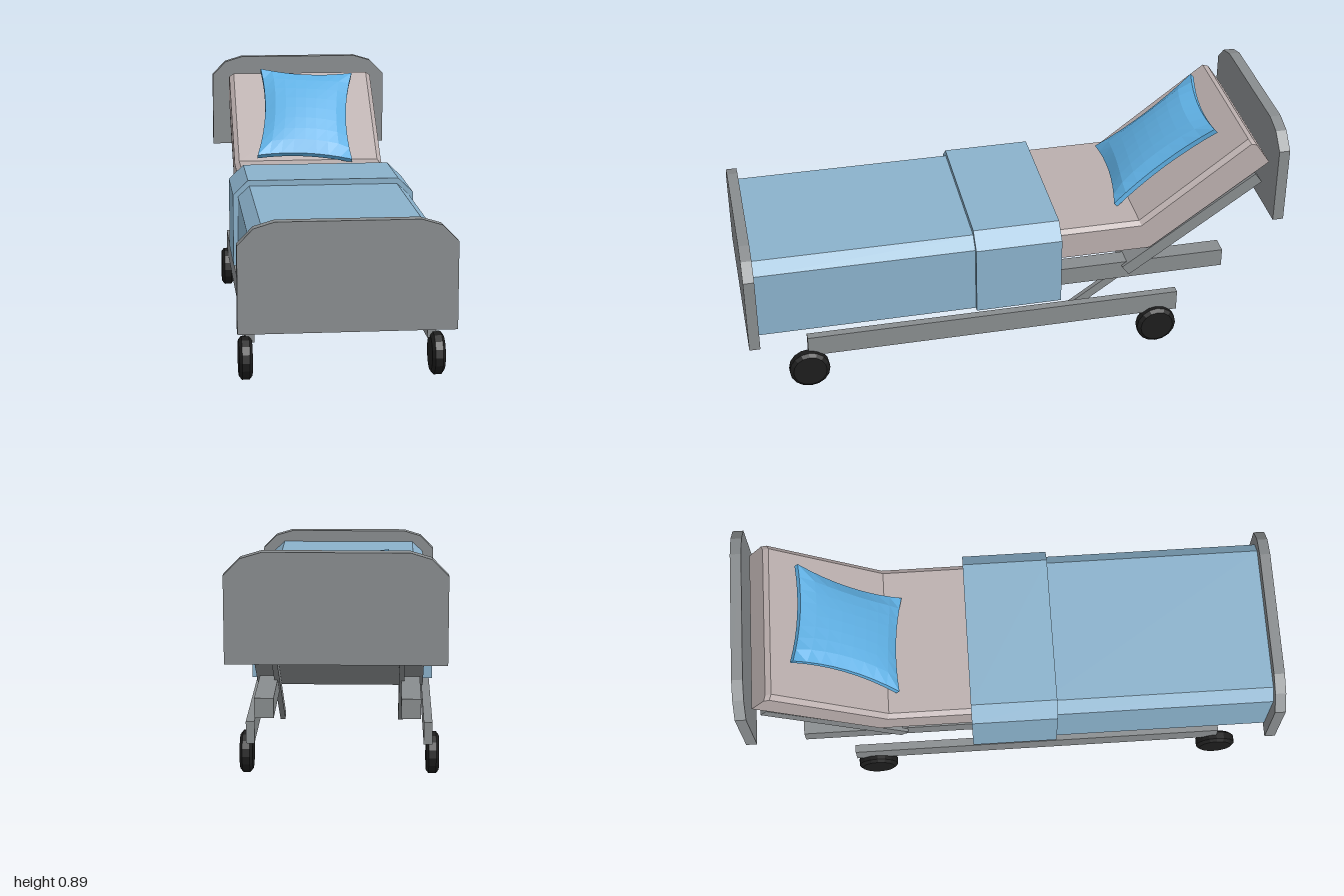
import * as THREE from 'three';

const mat = (name, color) => {
  const m = new THREE.MeshStandardMaterial({ color });
  m.name = name;
  return m;
};

export function createModel() {
  const bed = new THREE.Group();
  bed.name = 'hospitalBed';
  const grey = mat('frame grey', 0x888c8e);
  const cream = mat('mattress taupe', 0xbaaead);
  const blue = mat('blanket blue', 0x8ab1cb);
  const bright = mat('pillow blue', 0x5fb0e4);
  const black = mat('wheel black', 0x1c1c1c);

  const add = (name, geometry, material, x = 0, y = 0, z = 0) => {
    const mesh = new THREE.Mesh(geometry, material);
    mesh.name = name;
    mesh.position.set(x, y, z);
    bed.add(mesh);
    return mesh;
  };
  const flat = (g) => {
    const out = g.index ? g.toNonIndexed() : g;
    out.computeVertexNormals();
    return out;
  };
  // outline in x and y, pulled along z from z0 to z1
  const slab = (name, points, z0, z1, material) => {
    const shape = new THREE.Shape(points.map(([x, y]) => new THREE.Vector2(x, y)));
    const g = new THREE.ExtrudeGeometry(shape, { depth: z1 - z0, bevelEnabled: false });
    return add(name, g, material, 0, 0, z0);
  };
  const mirrored = (half) => [...half, ...half.map(([x, y]) => [-x, y]).reverse()];
  // sloping box between two points of the side plane
  const beam = (name, [z0, y0], [z1, y1], width, thick, x) => {
    const g = new THREE.BoxGeometry(width, thick, Math.hypot(z1 - z0, y1 - y0));
    const mesh = add(name, g, grey, x, (y0 + y1) / 2, (z0 + z1) / 2);
    mesh.rotation.x = Math.atan2(y1 - y0, z0 - z1);
  };

  // End boards with chamfered upper corners
  const board = (top, height) => mirrored([
    [0.365, top - height], [0.365, top - 0.077], [0.31, top - 0.021], [0.24, top],
  ]);
  slab('footboard', board(0.592, 0.375), 0.96, 1, grey);
  slab('headboard', board(0.888, 0.373), -1, -0.96, grey);

  // Mattress: chamfered cross-section swept along the bent side profile
  // each station: bottom z, y, top z, y, side inset of the top, shoulder height
  const stations = [
    [0.955, 0.41, 0.955, 0.525],
    [-0.51, 0.41, -0.47, 0.525],
    [-0.937, 0.72, -0.868, 0.828],
    [-0.95, 0.73, -0.89, 0.82],
  ];
  const section = [[-0.298, 0], [0.298, 0], [0.298, 0.88], [0.28, 1], [-0.28, 1], [-0.298, 0.88]];
  const n = section.length;
  const positions = [];
  const index = [];
  stations.forEach(([bz, by, tz, ty], i) => {
    for (const [x, t] of section) positions.push(x, by + (ty - by) * t, bz + (tz - bz) * t);
    if (i === stations.length - 1) return;
    for (let j = 0; j < n; j++) {
      const a = i * n + j, b = i * n + (j + 1) % n;
      index.push(a, a + n, b, b, a + n, b + n);
    }
  });
  const last = (stations.length - 1) * n;
  for (let j = 1; j < n - 1; j++) {
    index.push(0, j, j + 1, last, last + j + 1, last + j);
  }
  const mattress = new THREE.BufferGeometry();
  mattress.setAttribute('position', new THREE.Float32BufferAttribute(positions, 3));
  mattress.setIndex(index);
  add('mattress', flat(mattress), cream);

  // Blanket and its folded top: open shells draped over the mattress
  const drape = (w, topW, shoulder, top, t) => {
    const outer = [[w, 0.245], [w, shoulder], [topW, top]];
    const inner = [[w - t, 0.245], [w - t, shoulder - t * 0.4], [topW - t * 0.4, top - t]];
    return [
      ...outer, ...outer.map(([x, y]) => [-x, y]).reverse(),
      ...inner.map(([x, y]) => [-x, y]), ...inner.reverse(),
    ];
  };
  slab('blanket', drape(0.318, 0.275, 0.505, 0.545, 0.018), 0.1, 0.96, blue);
  slab('blanketFold', drape(0.336, 0.28, 0.512, 0.566, 0.036), -0.165, 0.155, blue);

  // Pillow: a box pinched along its edges and puffed in the middle
  const pillow = new THREE.BoxGeometry(2, 2, 2, 8, 8, 1);
  const p = pillow.attributes.position;
  for (let i = 0; i < p.count; i++) {
    const u = p.getX(i), v = p.getY(i);
    const puff = Math.pow(Math.max(0, (1 - u * u) * (1 - v * v)), 0.5);
    p.setXYZ(
      i,
      0.19 * u * (1 - 0.13 * (1 - v * v)),
      0.235 * v * (1 - 0.09 * (1 - u * u)),
      p.getZ(i) * (0.01 + 0.036 * puff),
    );
  }
  const pillowMesh = add('pillow', flat(pillow), bright, 0, 0.69, -0.6);
  pillowMesh.rotation.set(THREE.MathUtils.degToRad(-50), 0, THREE.MathUtils.degToRad(-4.5));

  // Raised back panel under the mattress
  beam('backPanel', [-0.422, 0.312], [-0.917, 0.662], 0.59, 0.046, 0);

  // Wheel: chamfered tread, axis along x
  const wheel = flat(new THREE.LatheGeometry([
    [0, -0.023], [0.062, -0.023], [0.075, -0.013], [0.075, 0.013], [0.062, 0.023], [0, 0.023],
  ].map(([r, y]) => new THREE.Vector2(r, y)), 16));
  wheel.rotateZ(Math.PI / 2);

  // Rails, lift arms and wheels on both sides
  for (const [side, s] of [['left', 1], ['right', -1]]) {
    add(side + 'DeckRail', new THREE.BoxGeometry(0.066, 0.07, 1.765), grey, s * 0.25, 0.31, 0.08);
    add(side + 'BaseRail', new THREE.BoxGeometry(0.03, 0.08, 1.405), grey, s * 0.312, 0.168, 0.0825);
    beam(side + 'LiftArm', [-0.213, 0.112], [-0.9, 0.6], 0.019, 0.032, s * 0.219);
    add(side + 'FrontWheel', wheel, black, s * 0.329, 0.075, 0.785);
    add(side + 'RearWheel', wheel, black, s * 0.329, 0.075, -0.54);
  }
  return bed;
}
